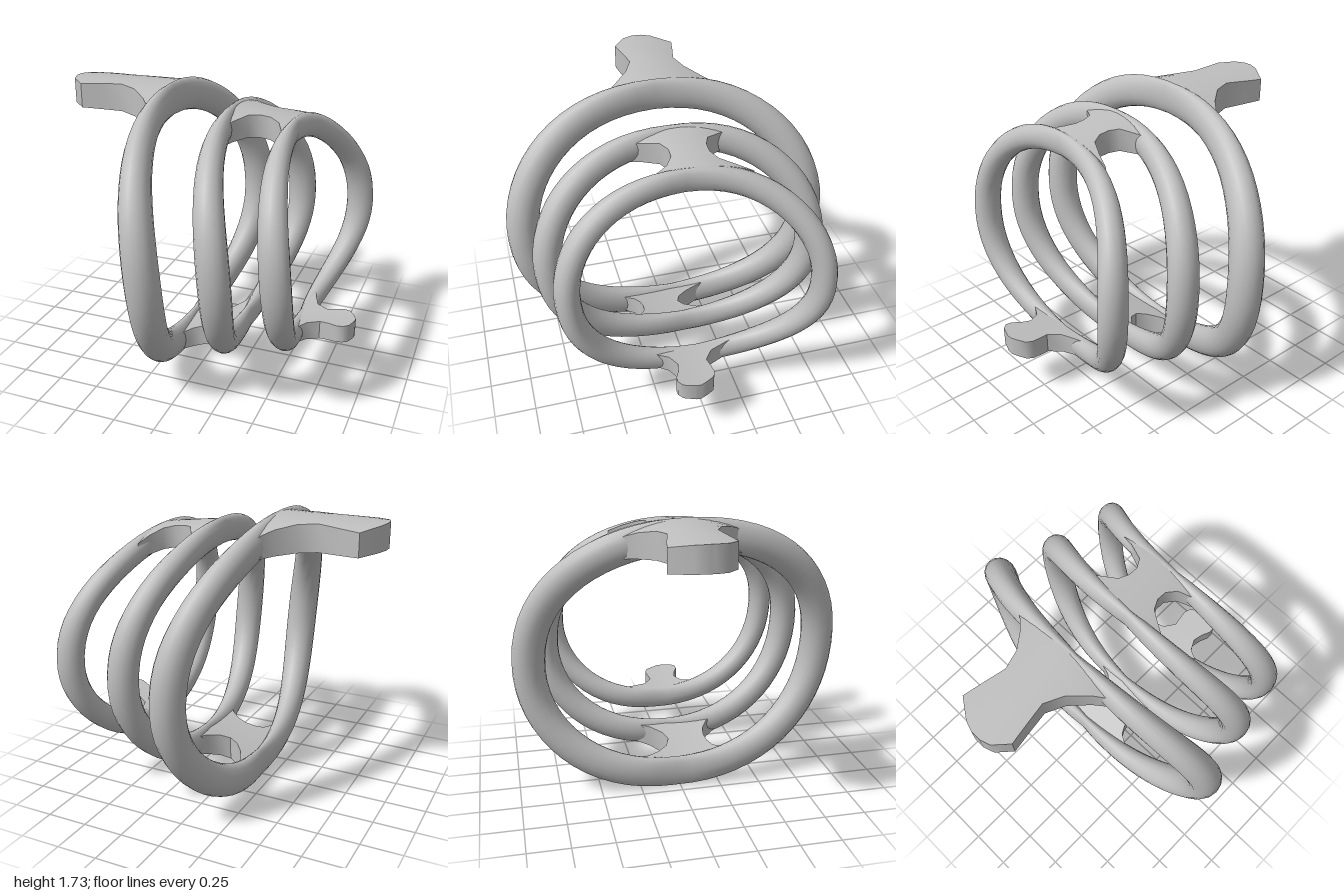
import * as THREE from 'three';
import { toCreasedNormals } from 'three/addons/utils/BufferGeometryUtils.js';

const lerp = THREE.MathUtils.lerp;

// Skin a list of equal-length closed sections; optionally join last to first or cap the ends.
function loft(sections, closed) {
  const n = sections[0].length, m = sections.length;
  const pos = sections.flat(2), idx = [];
  for (let i = 0; i < (closed ? m : m - 1); i++) {
    const a = i * n, b = ((i + 1) % m) * n;
    for (let j = 0; j < n; j++) {
      const k = (j + 1) % n;
      idx.push(a + j, b + k, b + j, a + j, a + k, b + k);
    }
  }
  if (!closed) {
    const e = (m - 1) * n;
    // caps pair each top point with the bottom point below it
    for (let j = 0; j < n / 2 - 1; j++) {
      const p = n - 1 - j, q = n - 2 - j;
      idx.push(j, q, j + 1, j, p, q);
      idx.push(e + j, e + j + 1, e + q, e + j, e + q, e + p);
    }
  }
  const g = new THREE.BufferGeometry();
  g.setAttribute('position', new THREE.Float32BufferAttribute(pos, 3));
  g.setIndex(idx);
  return g;
}

// Slightly squared oval hoop in the zy plane, swept towards +x at front and back, thin at crown and base.
const squared = (v) => Math.sign(v) * Math.abs(v) ** (2 / 2.15);
function hoopGeometry(o) {
  const sections = [];
  for (let i = 0; i < 64; i++) {
    const t = (i / 64) * Math.PI * 2, c = squared(Math.cos(t)), s = squared(Math.sin(t)), side = Math.abs(c);
    const x = lerp(o.xBottom, o.xTop, (1 + s) / 2) + (c > 0 ? o.sweepFront : o.sweepBack) * side ** 2.5;
    const nz = Math.cos(t) / o.rz, ny = Math.sin(t) / o.ry, len = Math.hypot(nz, ny);
    const half = lerp(0.032, o.width, side ** 0.8);
    const ring = [];
    for (let j = 0; j < 16; j++) {
      const a = (j / 16) * Math.PI * 2, r = -o.thick * Math.sin(a);
      ring.push([
        x + half * Math.cos(a),
        o.cy + o.ry * s + (r * ny) / len,
        o.cz + o.rz * c + (r * nz) / len + 0.035 * s, // slight lean to the front
      ]);
    }
    sections.push(ring);
  }
  const g = loft(sections, true);
  g.computeVertexNormals();
  return g;
}

// Waisted plate: stations are [x, zBack, zFront]; it bends with the hoop and thins away from the middle.
function plateGeometry({ stations, bottom, top, bend }) {
  const x0 = stations[0][0], x1 = stations[stations.length - 1][0], N = 10;
  const sections = stations.map(([x, zb, zf]) => {
    const u = (x - x0) / (x1 - x0), up = [], down = [];
    const yTop = lerp(top[0], top[1], u), yBottom = lerp(bottom[0], bottom[1], u);
    for (let j = 0; j <= N; j++) {
      const z = lerp(zb, zf, j / N);
      const mid = (yTop + yBottom) / 2 + bend * z * z;
      const half = ((yTop - yBottom) / 2) * (1 - 2.6 * z * z);
      up.push([x, mid + half, z]);
      down.unshift([x, mid - half, z]);
    }
    return [...up, ...down];
  });
  return toCreasedNormals(loft(sections, false), 0.7);
}

export function createModel() {
  const group = new THREE.Group();
  const metal = new THREE.MeshStandardMaterial({ color: 0xbfbfbf });
  metal.name = 'plain grey';
  const add = (name, geometry) => {
    const mesh = new THREE.Mesh(geometry, metal);
    mesh.name = name;
    group.add(mesh);
  };

  // Three hoops, shrinking towards +x
  const hoops = {
    largeHoop: { cy: 0.865, cz: 0, ry: 0.765, rz: 0.9, thick: 0.1, width: 0.1,
      xTop: -0.277, xBottom: -0.175, sweepFront: 0.14, sweepBack: 0.2 },
    middleHoop: { cy: 0.89, cz: 0.015, ry: 0.677, rz: 0.792, thick: 0.083, width: 0.092,
      xTop: 0.122, xBottom: 0.203, sweepFront: 0.125, sweepBack: 0.17 },
    smallHoop: { cy: 0.91, cz: 0.025, ry: 0.617, rz: 0.722, thick: 0.073, width: 0.086,
      xTop: 0.488, xBottom: 0.578, sweepFront: 0.075, sweepBack: 0.215 },
  };
  for (const [name, o] of Object.entries(hoops)) add(name, hoopGeometry(o));

  // Bridges between hoops and the tabs at both ends
  const plates = {
    upperTab: {
      stations: [[-0.92, -0.04, 0.02], [-0.9, -0.1, 0.08], [-0.82, -0.22, 0.15], [-0.7, -0.195, 0.13],
        [-0.57, -0.165, 0.11], [-0.46, -0.2, 0.16], [-0.36, -0.28, 0.25], [-0.31, -0.34, 0.31], [-0.277, -0.4, 0.4]],
      bottom: [1.565, 1.535], top: [1.715, 1.725], bend: -0.42,
    },
    lowerBridge: {
      stations: [[-0.17, -0.36, 0.4], [-0.12, -0.2, 0.3], [-0.08, -0.12, 0.235], [-0.03, -0.06, 0.21],
        [0.03, -0.035, 0.2], [0.09, -0.06, 0.21], [0.15, -0.13, 0.25], [0.2, -0.3, 0.36]],
      bottom: [0.01, 0.135], top: [0.17, 0.275], bend: 0.45,
    },
    upperBridge: {
      stations: [[0.125, -0.34, 0.34], [0.18, -0.24, 0.23], [0.24, -0.14, 0.13], [0.3, -0.115, 0.1],
        [0.36, -0.115, 0.1], [0.42, -0.15, 0.14], [0.465, -0.25, 0.23], [0.488, -0.33, 0.33]],
      bottom: [1.5, 1.46], top: [1.64, 1.595], bend: -0.52,
    },
    lowerTab: {
      stations: [[0.578, -0.32, 0.37], [0.61, -0.18, 0.27], [0.65, -0.07, 0.19], [0.72, -0.02, 0.155],
        [0.78, -0.03, 0.17], [0.83, -0.035, 0.195], [0.87, -0.02, 0.195], [0.9, 0.03, 0.17], [0.92, 0.07, 0.1]],
      bottom: [0.235, 0.28], top: [0.365, 0.4], bend: 0.45,
    },
  };
  for (const [name, p] of Object.entries(plates)) add(name, plateGeometry(p));

  return group;
}
